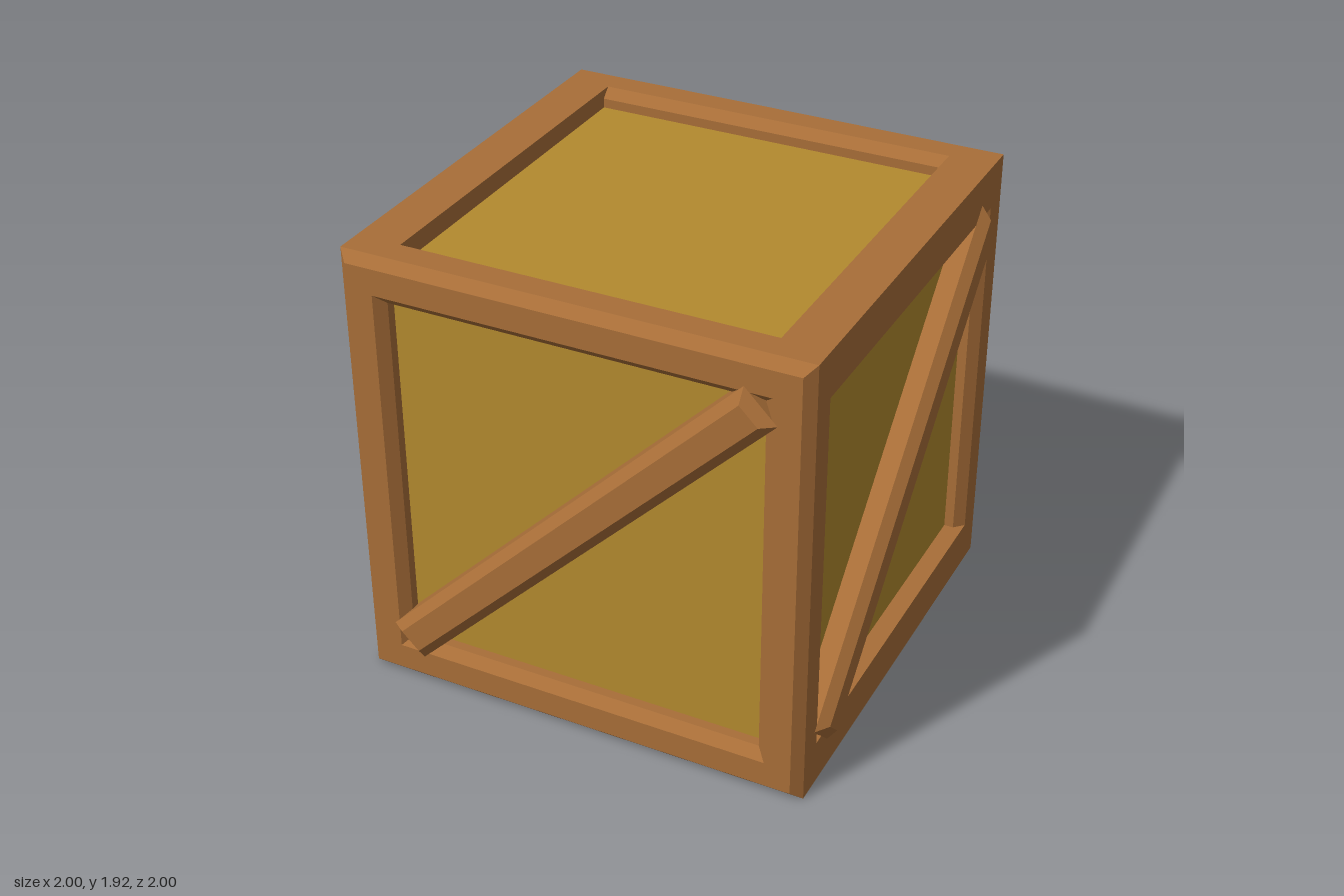
import * as THREE from 'three';

const HALF = 0.96;   // half size of the crate, also the height of its centre
const INNER = 0.77;  // half size of the openings
const BEVEL = 0.04;

const frameWood = new THREE.MeshStandardMaterial({ color: 0xa86e38 });
frameWood.name = 'frame wood';
const panelWood = new THREE.MeshStandardMaterial({ color: 0xb38a2e });
panelWood.name = 'panel wood';

// Corner points of a centred rectangle
function rect(w, h) {
  return [[-w, -h], [w, -h], [w, h], [-w, h]].map(([x, y]) => new THREE.Vector2(x, y));
}

// Chamfered extrusion spanning exactly z0 to z1
function chamfered(shape, z0, z1) {
  const g = new THREE.ExtrudeGeometry(shape, {
    depth: z1 - z0 - 2 * BEVEL, bevelEnabled: true,
    bevelThickness: BEVEL, bevelSize: BEVEL, bevelSegments: 1,
  });
  return g.translate(0, 0, z0 + BEVEL);
}

export function createModel() {
  const crate = new THREE.Group();
  crate.name = 'crate';
  const add = (name, geometry, material) => {
    const mesh = new THREE.Mesh(geometry, material);
    mesh.name = name;
    mesh.position.y = HALF;
    crate.add(mesh);
    return mesh;
  };

  // Inner box whose faces are the recessed panels
  add('panels', new THREE.BoxGeometry(1.76, 1.76, 1.76), panelWood);

  // Front and back square frames, chamfered on every edge
  const outline = new THREE.Shape(rect(HALF - BEVEL, HALF - BEVEL));
  outline.holes.push(new THREE.Path(rect(INNER + BEVEL, INNER + BEVEL).reverse()));
  add('frontFrame', chamfered(outline, INNER, HALF), frameWood);
  add('backFrame', chamfered(outline, -HALF, -INNER), frameWood);

  // Four plain rails joining the frames
  const size = HALF - INNER, mid = (HALF + INNER) / 2;
  for (const x of [-1, 1]) {
    for (const y of [-1, 1]) {
      const rail = new THREE.BoxGeometry(size, size, 2 * (INNER + BEVEL));
      add(`${y > 0 ? 'top' : 'bottom'}${x > 0 ? 'Left' : 'Right'}Rail`,
        rail.translate(x * mid, y * mid, 0), frameWood);
    }
  }

  // A diagonal brace on each of the four walls
  const brace = chamfered(new THREE.Shape(rect(1.083 - BEVEL, 0.092 - BEVEL)), 0.84, 1.0);
  brace.rotateZ(Math.PI / 4);
  ['front', 'left', 'back', 'right'].forEach((side, i) => {
    add(`${side}Brace`, brace, frameWood).rotation.y = i * Math.PI / 2;
  });

  return crate;
}
